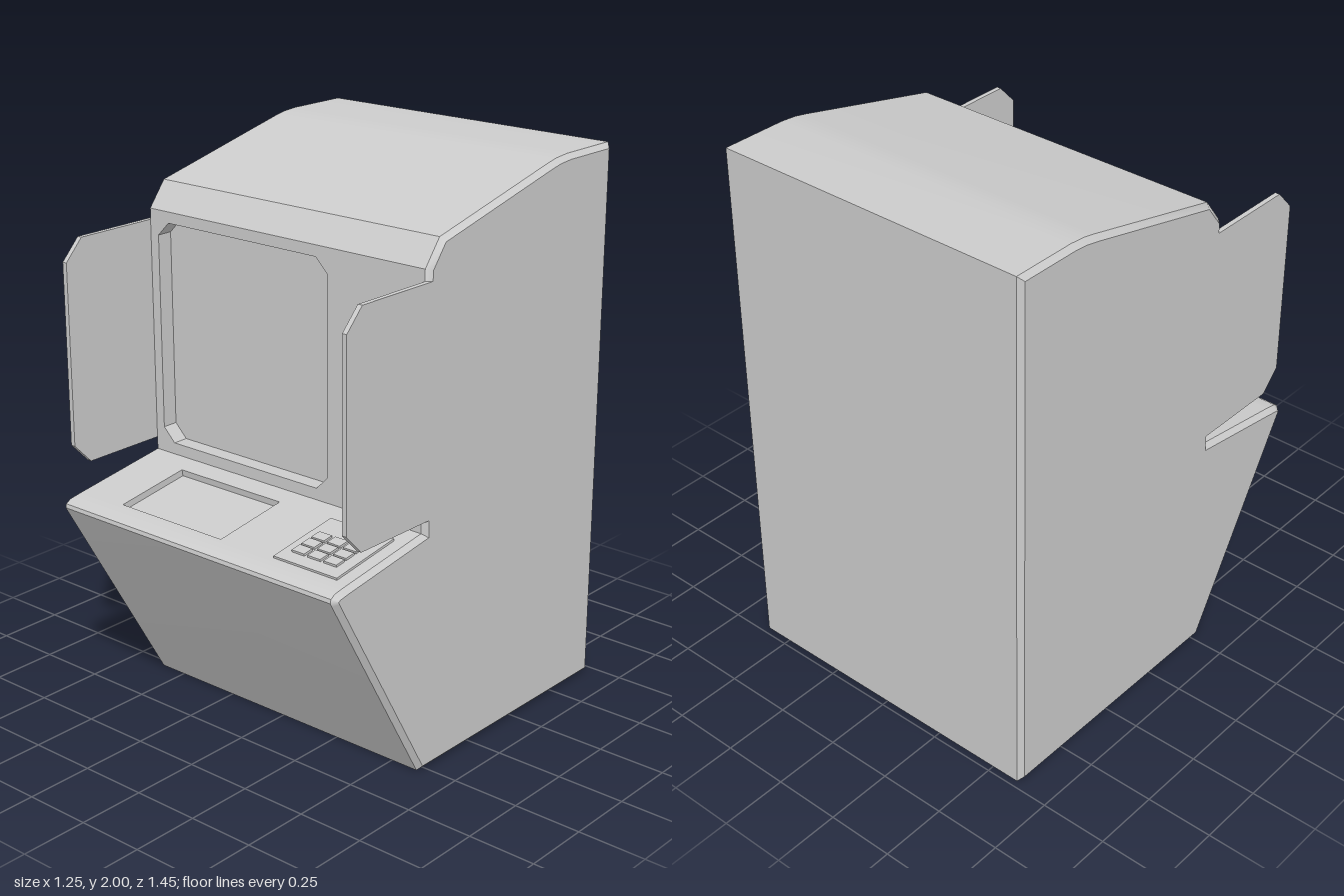
import * as THREE from 'three';
import { toCreasedNormals } from 'three/addons/utils/BufferGeometryUtils.js';

const MAT = new THREE.MeshStandardMaterial({ color: 0xcccccc });
const HALF = 0.625, BEVEL = 0.018, INNER = HALF - BEVEL;

// Side profile as [z, y], counter-clockwise from the bottom front edge
const PROFILE = [
  [0.28, 0], [0.72, 0.765], [0.727, 0.778], [0.724, 0.792], [0.705, 0.804], [0.66, 0.812],
  [0.275, 0.87], [0.275, 1.76], [0.205, 1.85],
  [-0.37, 1.985], [-0.42, 1.995], [-0.48, 2], [-0.725, 2], [-0.725, 0],
];
const CONSOLE = 5, FACE = 6; // profile segments closed by separate panels

function mesh(name, geometry, x = 0, y = 0, z = 0) {
  const m = new THREE.Mesh(geometry, MAT);
  m.name = name;
  m.position.set(x, y, z);
  return m;
}

// Profile moved inward by d with mitred corners
function inset(points, d) {
  const n = points.length;
  const normal = (i) => {
    const a = points[i % n], b = points[(i + 1) % n];
    const l = Math.hypot(b[0] - a[0], b[1] - a[1]);
    return [(b[1] - a[1]) / l, (a[0] - b[0]) / l];
  };
  return points.map((p, i) => {
    const a = normal(i + n - 1), b = normal(i);
    const k = d / (1 + a[0] * b[0] + a[1] * b[1]);
    return [p[0] - k * (a[0] + b[0]), p[1] - k * (a[1] + b[1])];
  });
}

// Cabinet shell: four cross-sections along x, bevelled towards the sides
function shellGeometry() {
  const small = inset(PROFILE, BEVEL), n = PROFILE.length;
  const rings = [[-HALF, small], [-INNER, PROFILE], [INNER, PROFILE], [HALF, small]]
    .map(([x, pts]) => pts.map(([z, y]) => [x, y, z]));
  const pos = [];
  const tri = (a, b, c) => pos.push(...a, ...b, ...c);
  for (let r = 0; r < 3; r++) {
    for (let i = 0; i < n; i++) {
      if (r === 1 && (i === CONSOLE || i === FACE)) continue;
      const j = (i + 1) % n;
      tri(rings[r][i], rings[r + 1][i], rings[r + 1][j]);
      tri(rings[r][i], rings[r + 1][j], rings[r][j]);
    }
  }
  const flat = small.map(([z, y]) => new THREE.Vector2(z, y));
  for (const [a, b, c] of THREE.ShapeUtils.triangulateShape(flat, [])) {
    tri(rings[0][a], rings[0][b], rings[0][c]);
    tri(rings[3][a], rings[3][c], rings[3][b]);
  }
  const g = new THREE.BufferGeometry();
  g.setAttribute('position', new THREE.Float32BufferAttribute(pos, 3));
  return toCreasedNormals(g, 0.58);
}

// Rectangle outline with optional cut corners
function rectPoints(x0, y0, x1, y1, c = 0) {
  const pts = c
    ? [[x0 + c, y0], [x1 - c, y0], [x1, y0 + c], [x1, y1 - c],
      [x1 - c, y1], [x0 + c, y1], [x0, y1 - c], [x0, y0 + c]]
    : [[x0, y0], [x1, y0], [x1, y1], [x0, y1]];
  return pts.map(([x, y]) => new THREE.Vector2(x, y));
}

// Panel over one profile segment with a recessed opening; local y runs up the segment
function recessedPanel(name, segment, opening, depth, floorName) {
  const [z0, y0] = PROFILE[segment], [z1, y1] = PROFILE[segment + 1];
  const group = new THREE.Group();
  group.name = name;
  group.position.set(0, y0, z0);
  group.rotation.x = Math.atan2(z1 - z0, y1 - y0);
  const shape = new THREE.Shape(rectPoints(-INNER, 0, INNER, Math.hypot(z1 - z0, y1 - y0)));
  shape.holes.push(new THREE.Path(opening));
  const frame = new THREE.ExtrudeGeometry(shape, { depth, bevelEnabled: false });
  group.add(mesh(name + 'Frame', frame, 0, 0, -depth));
  group.add(mesh(floorName, new THREE.ShapeGeometry(new THREE.Shape(opening)), 0, 0, -depth + 0.001));
  return group;
}

export function createModel() {
  const model = new THREE.Group();
  model.name = 'kiosk';
  model.add(mesh('cabinet', shellGeometry()));

  // Upright face with the main screen
  const face = recessedPanel('face', FACE, rectPoints(-0.57, 0.042, 0.205, 0.85, 0.05), 0.06, 'screen');
  model.add(face);

  // Hexagonal buttons beside the screen
  for (const y of [1.58, 1.145]) {
    const knob = new THREE.CylinderGeometry(0.029, 0.029, 0.04, 6).toNonIndexed();
    knob.rotateY(Math.PI / 6 * 3).rotateX(Math.PI / 2);
    knob.computeVertexNormals();
    model.add(mesh('button', knob, 0.42, y, 0.273));
  }

  // Sloping console with a sunken tray
  const desk = recessedPanel('console', CONSOLE, rectPoints(-0.41, 0.02, 0.055, 0.313), 0.025, 'tray');
  model.add(desk);

  // Keypad: raised plate and nine keys
  desk.add(mesh('keypadPlate', new THREE.BoxGeometry(0.27, 0.288, 0.016), 0.425, 0.164, 0));
  for (let row = 0; row < 3; row++) {
    for (let col = 0; col < 3; col++) {
      desk.add(mesh('key', new THREE.BoxGeometry(0.054, 0.041, 0.016),
        0.353 + col * 0.068, 0.091 + row * 0.049, 0.008));
    }
  }

  // Privacy wings, flush with the cabinet sides
  const outline = [[0.255, 0.915], [0.6, 0.915], [0.672, 0.99], [0.672, 1.645], [0.6, 1.72], [0.255, 1.72]];
  const wing = new THREE.ExtrudeGeometry(
    new THREE.Shape(outline.map(([z, y]) => new THREE.Vector2(z, y))),
    { depth: BEVEL, bevelEnabled: false });
  wing.rotateY(-Math.PI / 2);
  model.add(mesh('leftWing', wing, HALF), mesh('rightWing', wing, -INNER));

  return model;
}
